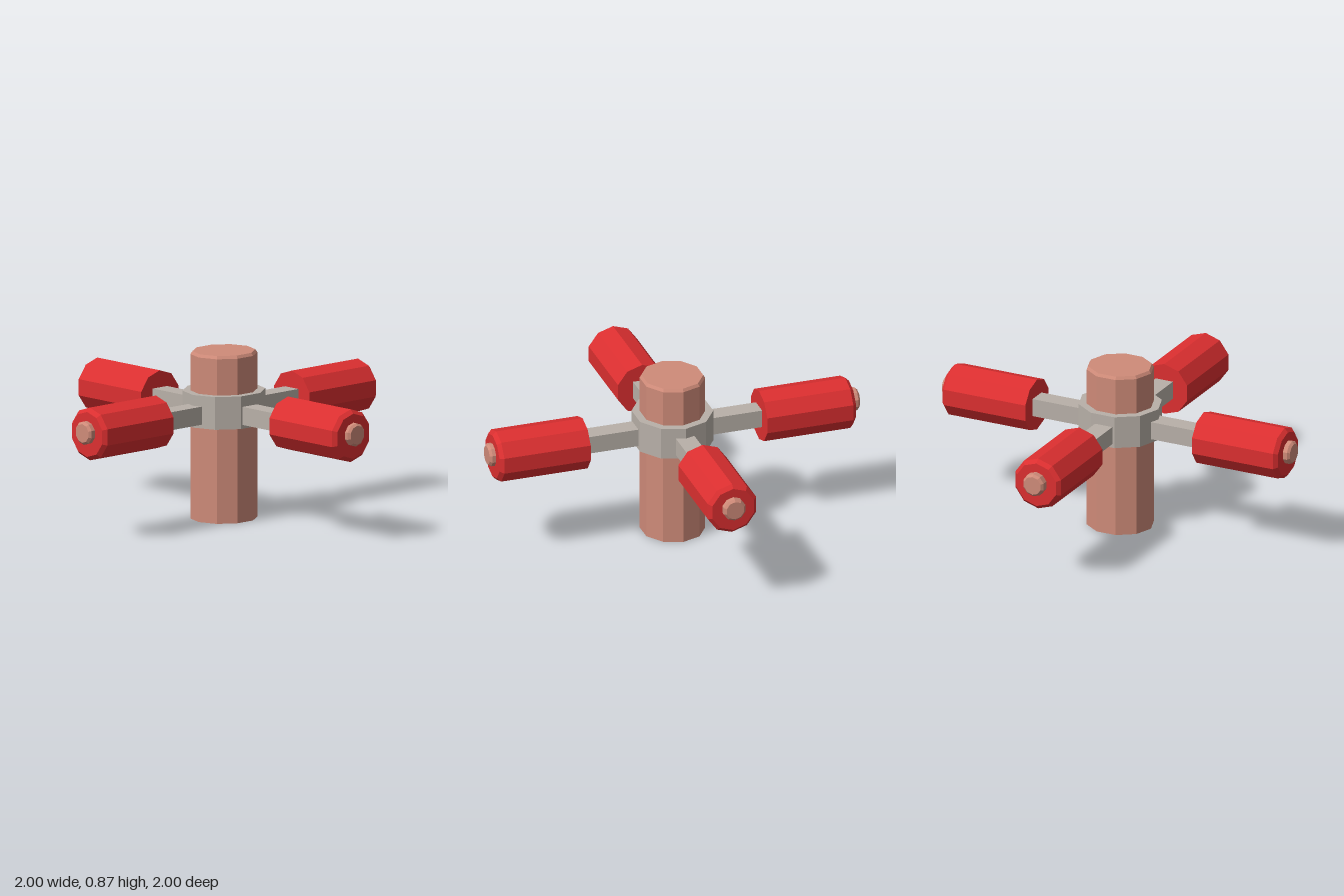
import * as THREE from 'three';

const paint = (name, color) => {
  const m = new THREE.MeshStandardMaterial({ color });
  m.name = name;
  return m;
};

// Faceted copy of a geometry: one normal per face
function faceted(geometry) {
  const g = geometry.toNonIndexed();
  g.computeVertexNormals();
  return g;
}

// Closed ten-sided prism along +y with a bevelled top edge
function prism(radius, start, end, bevel, inset = bevel) {
  const profile = [
    [0, start], [radius, start], [radius, end - bevel], [radius - inset, end], [0, end],
  ].map(([r, y]) => new THREE.Vector2(r, y));
  return new THREE.LatheGeometry(profile, 10);
}

function part(name, geometry, material) {
  const mesh = new THREE.Mesh(faceted(geometry), material);
  mesh.name = name;
  return mesh;
}

export function createModel() {
  const copper = paint('copper', 0xcf8b79);
  const grey = paint('warm grey', 0xb8b0a8);
  const red = paint('red', 0xdc2f30);

  const model = new THREE.Group();
  model.name = 'fourArmedPost';

  // Central post, slightly deeper than wide
  model.add(part('post', prism(0.167, 0, 0.872, 0.015, 0.01).scale(1, 1, 1.055), copper));

  // Collar around the post
  const collar = new THREE.CylinderGeometry(0.208, 0.208, 0.17, 10);
  collar.scale(1, 1, 1.05).translate(0, 0.583, 0);
  model.add(part('collar', collar, grey));

  // Four arms: barrel start, barrel end and tip, measured from the post's axis
  const arms = [
    ['front', 0.478, 0.962, 0.997],
    ['left', 0.483, 0.969, 1],
    ['back', 0.478, 0.964, 1],
    ['right', 0.47, 0.955, 1],
  ];
  arms.forEach(([side, start, end, tip], i) => {
    const arm = new THREE.Group();
    arm.name = `${side}Arm`;

    // Square bar from the collar into the barrel
    const bar = new THREE.BoxGeometry(0.1, 0.094, 0.36).translate(0, 0.565, 0.34);
    arm.add(part('bar', bar, grey));

    // Ten-sided barrel with a bevelled outer end
    const barrel = prism(0.1375, start, end, 0.02).rotateX(Math.PI / 2).translate(0, 0.563, 0);
    arm.add(part('barrel', barrel, red));

    // Small end cap
    const cap = prism(0.061, end - 0.03, tip, 0.012).rotateX(Math.PI / 2).translate(0, 0.573, 0);
    arm.add(part('endCap', cap, copper));

    arm.rotation.y = i * Math.PI / 2;
    if (i % 2) arm.position.z = 0.006;
    model.add(arm);
  });

  return model;
}
